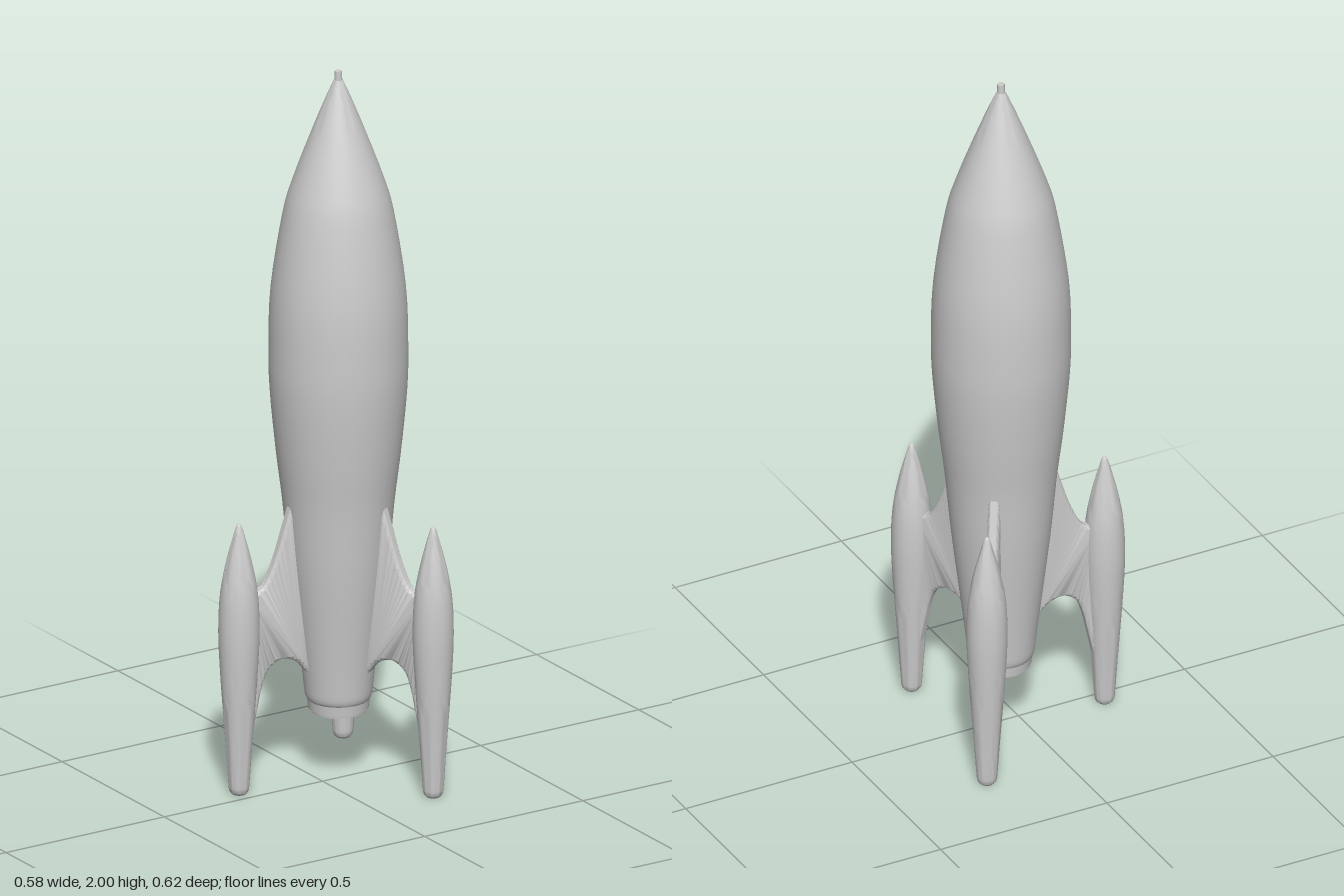
import * as THREE from 'three';
import { toCreasedNormals } from 'three/addons/utils/BufferGeometryUtils.js';

const material = new THREE.MeshStandardMaterial({ color: 0xcccccc });
const vec = (list) => list.map(([x, y]) => new THREE.Vector2(x, y));

// Smooth solid of revolution through [radius, height] points, listed bottom to top
function turned(name, points, steps, sides) {
  const curve = new THREE.SplineCurve(vec(points)).getPoints(steps);
  curve.forEach((p) => { p.x = Math.max(p.x, 0); });
  const profile = [new THREE.Vector2(0, points[0][1]), ...curve,
    new THREE.Vector2(0, points[points.length - 1][1])];
  const geometry = toCreasedNormals(new THREE.LatheGeometry(profile, sides), 0.7);
  const mesh = new THREE.Mesh(geometry, material);
  mesh.name = name;
  return mesh;
}

// Curved strut between hull and pod, with rounded edges
function makeFin() {
  const shape = new THREE.Shape();
  shape.moveTo(0.08, 0.31);
  shape.lineTo(0.115, 0.79);
  shape.lineTo(0.15, 0.79);
  shape.splineThru(vec([[0.167, 0.735], [0.193, 0.655], [0.22, 0.595], [0.243, 0.572], [0.285, 0.568]]));
  shape.lineTo(0.285, 0.16);
  shape.lineTo(0.262, 0.165);
  shape.splineThru(vec([[0.247, 0.235], [0.232, 0.3], [0.212, 0.345], [0.172, 0.366], [0.128, 0.35], [0.1, 0.318], [0.08, 0.31]]));
  const bevel = 0.012, depth = 0.008;
  const geometry = new THREE.ExtrudeGeometry(shape, {
    depth, curveSegments: 24, bevelEnabled: true, bevelThickness: bevel,
    bevelSize: bevel, bevelOffset: -bevel, bevelSegments: 5,
  });
  geometry.translate(0, 0, -depth / 2);
  const fin = new THREE.Mesh(toCreasedNormals(geometry, 0.8), material);
  fin.name = 'fin';
  return fin;
}

export function createModel() {
  const rocket = new THREE.Group();
  rocket.name = 'rocket';
  rocket.position.set(0.06, 0, -0.015);

  // Hull
  rocket.add(turned('hull', [
    [0.074, 0.215], [0.088, 0.235], [0.094, 0.28], [0.102, 0.35], [0.132, 0.6], [0.15, 0.79],
    [0.167, 0.93], [0.183, 1.1], [0.186, 1.22], [0.18, 1.39], [0.148, 1.6], [0.12, 1.7],
    [0.072, 1.83], [0.034, 1.925], [0.012, 1.975],
  ], 56, 40));

  // Nose tip
  const tip = new THREE.Mesh(new THREE.CylinderGeometry(0.01, 0.011, 0.04, 16), material);
  tip.name = 'noseTip';
  tip.position.y = 1.98;
  rocket.add(tip);

  // Stepped exhaust ring under the hull
  [[0.084, 0.215, 0.03], [0.074, 0.2, 0.02]].forEach(([radius, y, height]) => {
    const ring = new THREE.Mesh(new THREE.CylinderGeometry(radius, radius * 0.96, height, 40), material);
    ring.name = 'exhaustRing';
    ring.position.y = y;
    rocket.add(ring);
  });

  // Three pods on fins, evenly spaced around the hull
  for (let i = 0; i < 3; i++) {
    const leg = new THREE.Group();
    leg.name = 'leg';
    const pod = turned('pod', [
      [0.018, 0.004], [0.026, 0.015], [0.029, 0.045], [0.034, 0.12], [0.042, 0.23], [0.05, 0.345],
      [0.055, 0.46], [0.051, 0.565], [0.037, 0.65], [0.018, 0.725], [0.007, 0.762], [0.002, 0.768],
    ], 40, 28);
    pod.position.x = 0.298;
    leg.add(pod, makeFin());
    leg.rotation.y = -THREE.MathUtils.degToRad(185.2 + i * 120);
    rocket.add(leg);
  }

  const model = new THREE.Group();
  model.name = 'model';
  model.add(rocket);
  return model;
}
